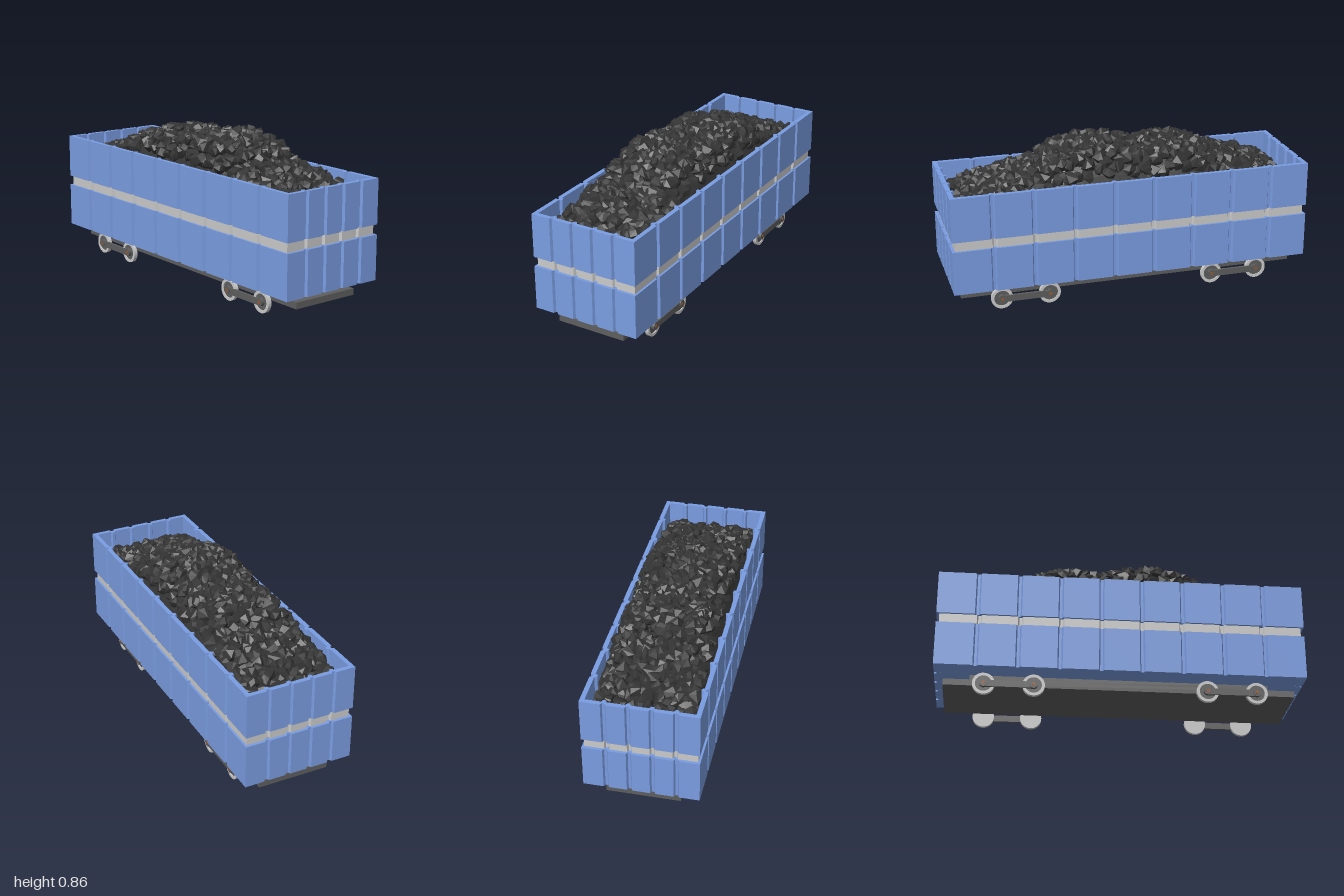
import * as THREE from 'three';
import { mergeGeometries } from 'three/addons/utils/BufferGeometryUtils.js';
import { ConvexGeometry } from 'three/addons/geometries/ConvexGeometry.js';

const mat = (color, extra = {}) => new THREE.MeshStandardMaterial({ color, ...extra });
const blue = mat(0x7a9de2);
const grey = mat(0xcccccc);
const dark = mat(0x5e5e5e);
const brown = mat(0x9a5a32);
const coalMat = mat(0x343434, { flatShading: true });

const SIDE_GROOVES = [-0.78, -0.556, -0.332, -0.11, 0.11, 0.332, 0.556, 0.78];
const END_GROOVES = [-0.185, -0.061, 0.061, 0.185];

function add(parent, name, geometry, material, x = 0, y = 0, z = 0) {
  const mesh = new THREE.Mesh(geometry, material);
  mesh.name = name;
  mesh.position.set(x, y, z);
  parent.add(mesh);
  return mesh;
}

// Rectangle outline with a trapezoid groove pressed in at each given position
function groovedOutline(hx, hz, kx = 1, kz = 1) {
  const pts = [];
  const edge = (half, grooves, k, place) => {
    pts.push(place(-half, 0));
    for (const g of grooves) {
      for (const [d, depth] of [[-0.014, 0], [-0.007, 0.014], [0.007, 0.014], [0.014, 0]]) {
        pts.push(place(g * k + d, depth));
      }
    }
  };
  edge(hx, END_GROOVES, kx, (t, d) => new THREE.Vector2(t, -hz + d));
  edge(hz, SIDE_GROOVES, kz, (t, d) => new THREE.Vector2(hx - d, t));
  edge(hx, END_GROOVES, kx, (t, d) => new THREE.Vector2(-t, hz - d));
  edge(hz, SIDE_GROOVES, kz, (t, d) => new THREE.Vector2(-hx + d, -t));
  return pts;
}

// Upright ring of corrugated wall
function wallRing(hx, hz, height, thickness, kx, kz) {
  const shape = new THREE.Shape(groovedOutline(hx, hz, kx, kz));
  shape.holes.push(new THREE.Path(groovedOutline(hx - thickness, hz - thickness, kx, kz)));
  return new THREE.ExtrudeGeometry(shape, { depth: height, bevelEnabled: false }).rotateX(-Math.PI / 2);
}

// Height of the load: two mounds along the length, rounded off toward the sides
const RIDGE = [[-0.97, 0.59], [-0.85, 0.63], [-0.72, 0.675], [-0.55, 0.735], [-0.42, 0.79], [-0.3, 0.82],
  [-0.2, 0.815], [-0.08, 0.795], [0.02, 0.83], [0.13, 0.85], [0.25, 0.84], [0.36, 0.81],
  [0.5, 0.73], [0.7, 0.675], [0.85, 0.63], [0.97, 0.6]];
function heapHeight(x, z) {
  let i = 1;
  while (i < RIDGE.length - 1 && RIDGE[i][0] < z) i++;
  const [z0, y0] = RIDGE[i - 1], [z1, y1] = RIDGE[i];
  const top = THREE.MathUtils.lerp(y0, y1, THREE.MathUtils.clamp((z - z0) / (z1 - z0), 0, 1));
  const fall = THREE.MathUtils.clamp((Math.abs(x) - 0.15) / 0.12, 0, 1);
  const edge = Math.min(top, 0.66);
  return top - (top - edge) * fall * fall;
}

function seeded(seed) {
  return () => {
    seed = (seed * 16807) % 2147483647;
    return seed / 2147483647;
  };
}

// Angular lumps scattered over the heap on a jittered grid
function coalLumps() {
  const rnd = seeded(4711);
  const lumps = [];
  const rows = 46, cols = 12;
  for (let i = 0; i < rows; i++) {
    for (let j = 0; j < cols; j++) {
      const r = 0.034 + rnd() * 0.016;
      const x = THREE.MathUtils.clamp(((j + 0.5) / cols - 0.5) * 0.5 + (rnd() - 0.5) * 0.035, -0.235, 0.235);
      const z = THREE.MathUtils.clamp(((i + 0.5) / rows - 0.5) * 1.84 + (rnd() - 0.5) * 0.035, -0.905, 0.905);
      const pts = [];
      for (let k = 0; k < 12; k++) {
        // Evenly spread directions, roughened
        const v = 1 - (2 * (k + 0.5)) / 12, a = k * 2.4 + rnd() * 0.9;
        const s = Math.sqrt(1 - v * v), q = r * (0.8 + rnd() * 0.3);
        pts.push(new THREE.Vector3(s * Math.cos(a) * q, v * q, s * Math.sin(a) * q));
      }
      const turn = new THREE.Euler(rnd() * 6.28, rnd() * 6.28, rnd() * 6.28);
      pts.forEach((p) => p.applyEuler(turn));
      const g = new ConvexGeometry(pts);
      g.translate(x, heapHeight(x, z) - r * 0.85 + (rnd() - 0.5) * 0.022, z);
      lumps.push(g);
    }
  }
  return mergeGeometries(lumps);
}

// Solid core below the lumps
function coalCore() {
  const g = new THREE.BoxGeometry(0.56, 0.4, 1.79, 12, 1, 40);
  const p = g.attributes.position;
  for (let i = 0; i < p.count; i++) {
    const y = p.getY(i) > 0 ? heapHeight(p.getX(i), p.getZ(i)) - 0.055 : 0.155;
    p.setY(i, y);
  }
  g.computeVertexNormals();
  return g;
}

// Wheel facing outward along +x, built around its own centre
function wheel() {
  const group = new THREE.Group();
  group.name = 'wheel';
  const disc = (r, from, to) =>
    new THREE.CylinderGeometry(r, r, to - from, 32).rotateZ(-Math.PI / 2).translate((from + to) / 2, 0, 0);
  const rim = new THREE.Shape().absarc(0, 0, 0.06, 0, Math.PI * 2);
  rim.holes.push(new THREE.Path().absarc(0, 0, 0.044, 0, Math.PI * 2));
  const tyre = new THREE.ExtrudeGeometry(rim, { depth: 0.021, bevelEnabled: false, curveSegments: 20 });
  add(group, 'tyre', tyre.rotateY(Math.PI / 2), grey, 0.229);
  add(group, 'wheelBack', disc(0.045, 0.231, 0.237), grey);
  add(group, 'wheelDisc', disc(0.045, 0.237, 0.244), dark);
  add(group, 'hub', disc(0.022, 0.244, 0.262), dark);
  add(group, 'axleCap', disc(0.009, 0.262, 0.264), brown);
  return group;
}

export function createModel() {
  const model = new THREE.Group();
  model.name = 'coalWagon';

  // Body
  const body = new THREE.Group();
  body.name = 'body';
  model.add(body);
  add(body, 'lowerWall', wallRing(0.308, 1, 0.246, 0.025, 1, 1), blue, 0, 0.137);
  add(body, 'greyBand', wallRing(0.296, 0.984, 0.054, 0.012, 0.96, 0.985), grey, 0, 0.383);
  add(body, 'upperWall', wallRing(0.308, 1, 0.246, 0.025, 1, 1), blue, 0, 0.437);
  add(body, 'floor', new THREE.BoxGeometry(0.575, 0.018, 1.96), blue, 0, 0.147);

  // Load
  const load = new THREE.Group();
  load.name = 'coalLoad';
  model.add(load);
  add(load, 'coalCore', coalCore(), coalMat);
  add(load, 'coalLumps', coalLumps(), coalMat);

  // Underframe
  add(model, 'upperFrame', new THREE.BoxGeometry(0.34, 0.038, 1.62), dark, 0, 0.119);
  add(model, 'lowerFrame', new THREE.BoxGeometry(0.4, 0.035, 1.9), dark, 0, 0.0825);

  // Two wheel pairs with a joining bar on each side
  for (const side of [1, -1]) {
    for (const end of [1, -1]) {
      const bogie = new THREE.Group();
      bogie.name = (side > 0 ? 'left' : 'right') + (end > 0 ? 'Front' : 'Rear') + 'Bogie';
      bogie.position.set(0, 0.06, end * 0.6);
      bogie.rotation.y = side > 0 ? 0 : Math.PI;
      for (const z of [-0.133, 0.133]) {
        const w = wheel();
        w.position.z = z;
        bogie.add(w);
      }
      add(bogie, 'sideBar', new THREE.BoxGeometry(0.014, 0.036, 0.266), dark, 0.251, -0.002);
      model.add(bogie);
    }
  }
  return model;
}
